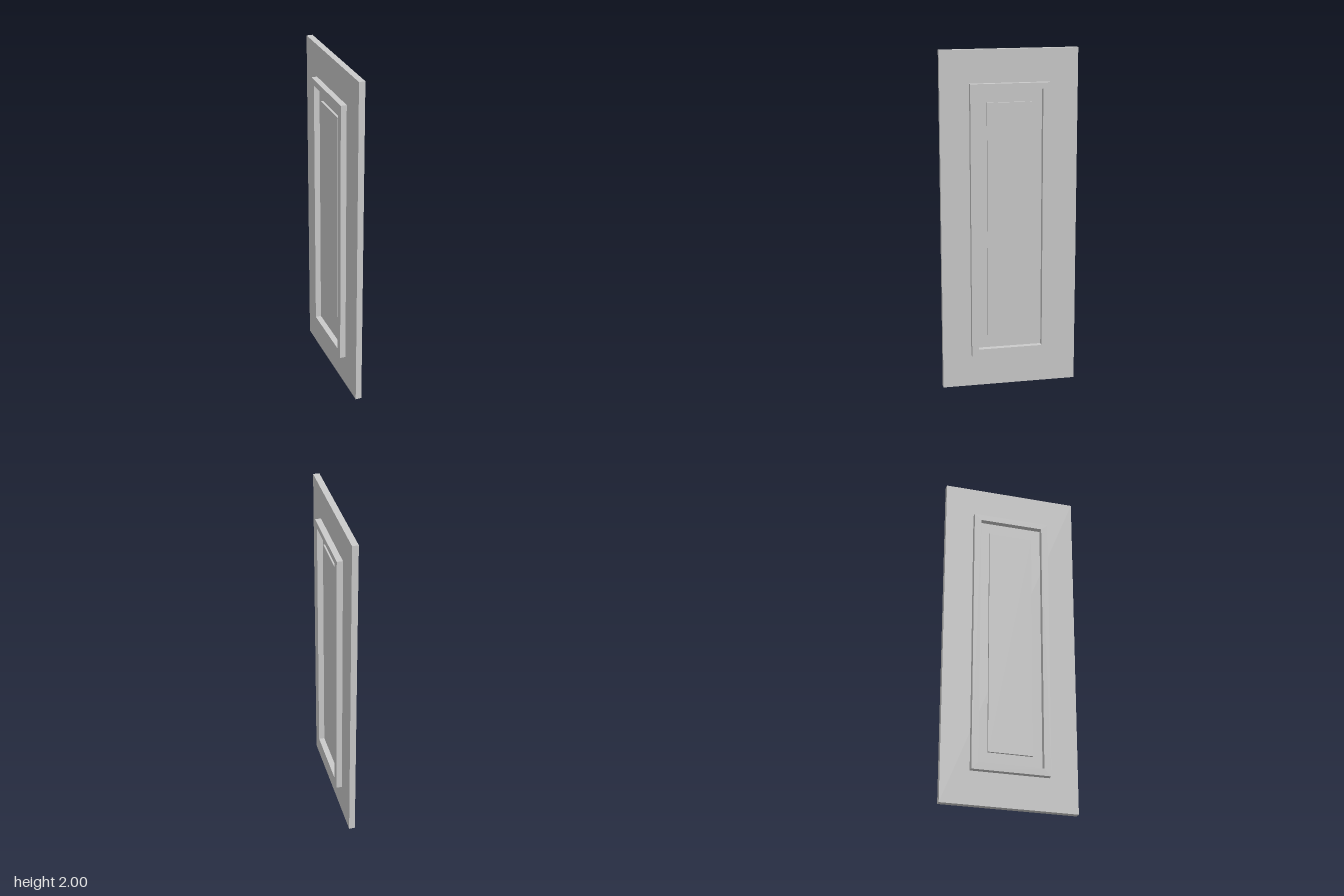
import * as THREE from 'three';

const material = new THREE.MeshStandardMaterial({ color: 0xcccccc });

// Rectangle centred on z = 0, traced in the (z, y) plane
function rectangle(target, halfWidth, bottom, top) {
  target.moveTo(-halfWidth, bottom);
  target.lineTo(halfWidth, bottom);
  target.lineTo(halfWidth, top);
  target.lineTo(-halfWidth, top);
  target.closePath();
  return target;
}

function addMesh(parent, name, geometry) {
  const mesh = new THREE.Mesh(geometry, material);
  mesh.name = name;
  parent.add(mesh);
  return mesh;
}

export function createModel() {
  const model = new THREE.Group();
  model.name = 'panelledDoor';

  const slabHalf = 0.018;
  const frameDepth = 0.034;
  const panelDepth = 0.013;

  // Door slab
  addMesh(model, 'doorSlab', new THREE.BoxGeometry(slabHalf * 2, 2, 0.8)).position.y = 1;

  // Raised moulding frame and inner panel, the same on both faces
  const frameShape = rectangle(new THREE.Shape(), 0.231, 0.195, 1.81);
  frameShape.holes.push(rectangle(new THREE.Path(), 0.19, 0.236, 1.774));
  const frameGeometry = new THREE.ExtrudeGeometry(frameShape, { depth: frameDepth, bevelEnabled: false });
  const panelShape = rectangle(new THREE.Shape(), 0.131, 0.31, 1.7);
  const panelGeometry = new THREE.ExtrudeGeometry(panelShape, { depth: panelDepth, bevelEnabled: false });

  for (const [side, sign] of [['left', 1], ['right', -1]]) {
    const face = new THREE.Group();
    face.name = side + 'Face';
    addMesh(face, side + 'MouldingFrame', frameGeometry);
    addMesh(face, side + 'RaisedPanel', panelGeometry);
    face.rotation.y = sign * Math.PI / 2;
    face.position.x = sign * slabHalf;
    model.add(face);
  }

  return model;
}
